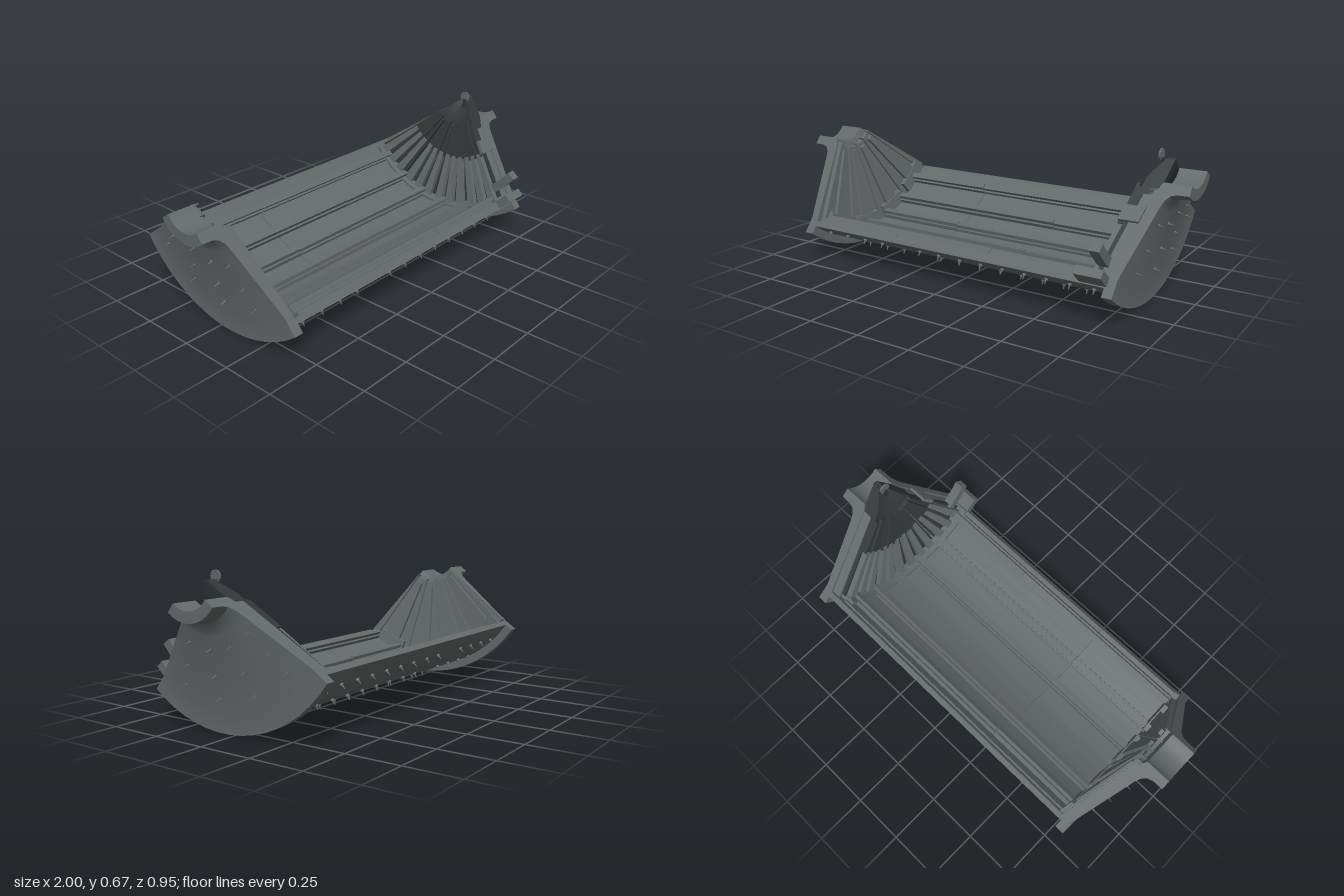
import * as THREE from 'three';
import { toCreasedNormals } from 'three/addons/utils/BufferGeometryUtils.js';

const CY = 0.64, CZ = 0.056;          // drum axis
const A0 = -55.2, A1 = 38;            // angular span of the drum sector, degrees
const steel = new THREE.MeshStandardMaterial({ color: 0x646969 });
steel.name = 'steel grey';
const dark = new THREE.MeshStandardMaterial({ color: 0x333737 });
dark.name = 'dark rubber';

const point = (x, r, deg) => {
  const a = THREE.MathUtils.degToRad(deg);
  return new THREE.Vector3(x, CY - r * Math.cos(a), CZ + r * Math.sin(a));
};

// Sweeps a closed (x, radius) profile about the drum axis, with capped ends
function sector(profile, a0, a1, step = 6) {
  const p = profile.map(([x, r]) => new THREE.Vector2(x, r));
  if (THREE.ShapeUtils.isClockWise(p)) p.reverse();
  const n = Math.max(1, Math.ceil((a1 - a0) / step));
  const out = [];
  const put = (v, a) => out.push(...point(v.x, v.y, a).toArray());
  for (let s = 0; s < n; s++) {
    const b0 = a0 + (a1 - a0) * s / n, b1 = a0 + (a1 - a0) * (s + 1) / n;
    p.forEach((u, i) => {
      const v = p[(i + 1) % p.length];
      put(v, b0); put(u, b0); put(u, b1);
      put(v, b0); put(u, b1); put(v, b1);
    });
  }
  for (const [i, j, k] of THREE.ShapeUtils.triangulateShape(p, [])) {
    put(p[i], a0); put(p[j], a0); put(p[k], a0);
    put(p[k], a1); put(p[j], a1); put(p[i], a1);
  }
  const g = new THREE.BufferGeometry();
  g.setAttribute('position', new THREE.Float32BufferAttribute(out, 3));
  return toCreasedNormals(g, 0.45);
}

const rect = (x0, x1, r0, r1) => [[x0, r0], [x1, r0], [x1, r1], [x0, r1]];
const wallX = r => 0.86 - (r - 0.16) * 0.207;   // inner face of the end wall
// Slanted plate following the end wall, from depth t0 to t1 inside it
const slab = (s, r0, r1, t0, t1) => [
  [s * (wallX(r0) - t0), r0], [s * (wallX(r1) - t0), r1],
  [s * (wallX(r1) - t1), r1], [s * (wallX(r0) - t1), r0]];

export function createModel() {
  const model = new THREE.Group();
  model.name = 'drumSector';
  const group = name => {
    const g = new THREE.Group();
    g.name = name;
    model.add(g);
    return g;
  };
  const add = (parent, name, geometry, material = steel) => {
    const m = new THREE.Mesh(geometry, material);
    m.name = name;
    parent.add(m);
    return m;
  };

  // Curved shell
  add(model, 'shell', sector(rect(-0.775, 0.775, 0.572, 0.6), A0, A1));

  // Conical end walls with outer flange and bearing hub
  const wall = [[0.77, 0.64], [0.815, 0.64], [0.815, 0.56], [0.895, 0.23], [0.905, 0.2],
    [0.925, 0.176], [0.95, 0.168], [1, 0.167], [1, 0.12], [0.88, 0.12], [0.86, 0.16],
    [0.775, 0.57], [0.77, 0.6]];
  for (const s of [-1, 1])
    add(model, s > 0 ? 'leftEndWall' : 'rightEndWall', sector(wall.map(([x, r]) => [s * x, r]), A0, A1));

  // Shell liner plates and lifter bars, each jointed along the length
  const liner = group('shellLiner');
  const bars = [-46, -30.5, -15, 0.5, 16, 33];
  bars.forEach((a, i) => {
    const joint = i % 2 ? 0.2 : -0.28;
    const next = i < bars.length - 1 ? bars[i + 1] - 2.7 : A1;
    for (const [x0, x1, d] of [[-0.75, joint, 0], [joint + 0.003, 0.7, 0.004]]) {
      add(liner, 'lifterBase', sector(rect(x0, x1, 0.54 + d, 0.575), a - 2.6, a + 2.6));
      add(liner, 'lifterTop', sector(rect(x0, x1, 0.522 + d, 0.545), a - 1.5, a + 1.5));
    }
    for (const [x0, x1] of [[-0.75, -0.28], [-0.277, 0.7]])
      add(liner, 'linerPlate', sector(rect(x0, x1, 0.557, 0.575), a + 2.7, next));
  });
  add(liner, 'linerPlate', sector(rect(-0.75, 0.7, 0.562, 0.575), A0 + 2, bars[0] - 2.7));

  // End liner fan on the right: plates with raised wedges and ribs between
  const fan = group('rightEndLiner');
  const panels = [-45.6, -22.6, 0, 22.6];
  for (const a of panels) {
    add(fan, 'fanPlate', sector(slab(-1, 0.15, 0.57, -0.01, 0.014), a - 11, a + 11));
    add(fan, 'fanWedge', sector(slab(-1, 0.17, 0.56, 0.01, 0.03), a - 4.5, a + 4.5));
    add(fan, 'fanFoot', sector(slab(-1, 0.5, 0.57, 0.01, 0.036), a - 9, a + 9));
  }
  for (const a of [-54, -34, -11.3, 11.3, 34])
    add(fan, 'fanRib', sector(slab(-1, 0.14, 0.565, -0.01, 0.024), a - 1.2, a + 1.2));

  // Layered end liner on the left: dark cone above grey fingers
  const stack = group('leftEndLiner');
  add(stack, 'backing', sector(slab(1, 0.15, 0.57, -0.01, 0.045), -54, 37));
  add(stack, 'darkCone', sector([[0.9, 0.01], [0.88, 0.12], [0.845, 0.18], [0.785, 0.18],
    [0.805, 0.1], [0.86, 0.015]], -52, 37), dark);
  panels.forEach((a, i) => {
    const c = a + 3.5;
    add(stack, 'darkSkirt', sector(slab(1, 0.15, 0.31 + 0.01 * (i % 2), 0.04, 0.09), c - 10.8, c + 10.8), dark);
    add(stack, 'skirtPleat', sector(slab(1, 0.13, 0.29, 0.085, 0.102), c - 5, c + 5), dark);
    add(stack, 'darkBacking', sector(slab(1, 0.3, 0.55, 0.04, 0.065), c - 10.8, c + 10.8), dark);
    for (const d of [-7.2, 0, 7.2])
      add(stack, 'finger', sector(slab(1, 0.3, 0.55, 0.06, 0.092), c + d - 2.2, c + d + 2.2));
  });
  add(stack, 'footRing', sector(rect(0.66, 0.78, 0.545, 0.575), -52, 38));
  add(stack, 'footRingEnd', sector(rect(0.66, 0.78, 0.555, 0.595), 36, 45.5));
  add(stack, 'prong', sector(rect(0.715, 0.76, 0.47, 0.513), 30, 51.5));
  add(stack, 'clampTab', sector(slab(1, 0.24, 0.31, 0, 0.09), 36, 40));

  // Lifting eye disc with holes, above the cone
  const disc = new THREE.Shape().absarc(0, 0, 0.026, 0, Math.PI * 2);
  for (let i = 0; i < 5; i++) {
    const a = i * Math.PI * 0.4 + Math.PI / 2;
    disc.holes.push(new THREE.Path().absarc(0.015 * Math.cos(a), 0.015 * Math.sin(a), 0.0035, 0, Math.PI * 2, true));
  }
  const eye = add(stack, 'liftingEye', new THREE.ExtrudeGeometry(disc,
    { depth: 0.008, bevelEnabled: false, curveSegments: 10 }));
  eye.rotation.y = Math.PI / 2;
  eye.position.set(0.834, 0.642, 0.058);
  const stem = add(stack, 'eyeStem', new THREE.BoxGeometry(0.014, 0.09, 0.02), dark);
  stem.position.set(0.838, 0.585, 0.058);

  // Bolts through the shell and the end walls
  const bolts = group('bolts');
  const up = new THREE.Vector3(0, 1, 0);
  const bolt = (position, direction, radius) => {
    const head = add(bolts, 'boltHead', new THREE.CylinderGeometry(radius, radius, 0.008, 8));
    const tip = add(bolts, 'boltTip', new THREE.CylinderGeometry(radius * 0.2, radius * 0.6, 0.022, 6));
    for (const [m, d] of [[head, 0.003], [tip, 0.014]]) {
      m.position.copy(position).addScaledVector(direction, d);
      m.quaternion.setFromUnitVectors(up, direction);
    }
  };
  const rows = [-0.71, -0.6, -0.49, -0.385, -0.165, -0.06, 0.055, 0.165, 0.275, 0.385, 0.49, 0.6, 0.71];
  for (const a of bars) {
    const direction = point(0, 1, a).sub(point(0, 0, a));
    for (const x of rows) bolt(point(x, 0.6, a), direction, 0.009);
  }
  for (const s of [-1, 1]) for (const a of panels) for (const r of [0.286, 0.397, 0.494]) {
    const x = 0.815 + (0.56 - r) * 0.242;
    const direction = point(0, 0.24, a).sub(point(0, 0, a)).setX(s).normalize();
    bolt(point(s * x, r, a), direction, a === 0 ? 0.008 : 0.005);
  }
  return model;
}
